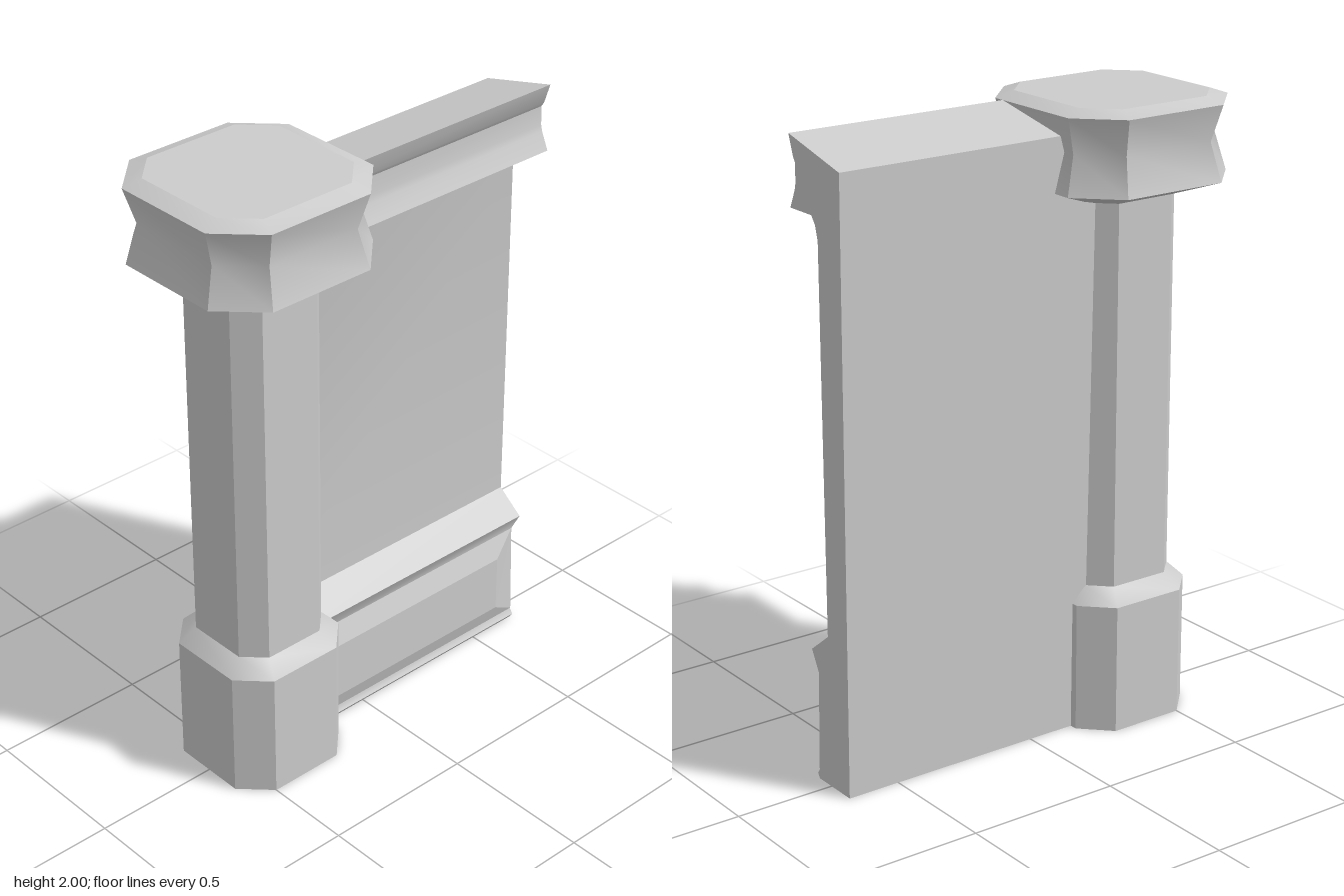
import * as THREE from 'three';
import { toCreasedNormals } from 'three/addons/utils/BufferGeometryUtils.js';

const material = new THREE.MeshStandardMaterial({ color: 0xcccccc, side: THREE.DoubleSide });

// Skin a list of equal-length sections with quads.
function loft(sections, closed) {
  const n = sections[0].length;
  const position = [];
  for (let i = 0; i < sections.length - 1; i++) {
    for (let j = 0; j < (closed ? n : n - 1); j++) {
      const k = (j + 1) % n;
      const a = sections[i][j], b = sections[i][k];
      const c = sections[i + 1][k], d = sections[i + 1][j];
      position.push(...a, ...d, ...c, ...a, ...c, ...b);
    }
  }
  const geometry = new THREE.BufferGeometry();
  geometry.setAttribute('position', new THREE.Float32BufferAttribute(position, 3));
  geometry.computeVertexNormals();
  return toCreasedNormals(geometry, 0.6);
}

// Square with cut corners, lying flat at height y.
function octagon(y, half, cut) {
  const s = half - cut;
  return [[half, -s], [half, s], [s, half], [-s, half], [-half, s], [-half, -s], [-s, -half], [s, -half]]
    .map(([x, z]) => [x, y, z]);
}

function addMesh(parent, name, geometry) {
  const mesh = new THREE.Mesh(geometry, material);
  mesh.name = name;
  parent.add(mesh);
  return mesh;
}

// Height, half width and corner cut of each ring
const PILLAR = {
  pillarBase: [[0, 0.215, 0.09], [0.42, 0.215, 0.09], [0.47, 0.166, 0.065]],
  pillarShaft: [[0.47, 0.166, 0.065], [1.7, 0.166, 0.065]],
  pillarCap: [[1.695, 0.166, 0.065], [1.745, 0.303, 0.125], [1.865, 0.27, 0.11], [1.98, 0.303, 0.125]],
  pillarTop: [[1.98, 0.303, 0.125], [2, 0.248, 0.09]],
};

// Wall outline as [z, y]: up the front mouldings, over the top, down the back
const WALL = [
  [0.065, 0], [0.075, 0.015], [0.065, 0.03], [0.055, 0.355], [0.09, 0.42], [0, 0.49],
  [0, 1.695], [0.012, 1.74], [0.03, 1.765], [0.14, 1.765], [0.115, 1.82], [0.11, 1.84],
  [0.108, 1.9], [0.118, 1.915], [0.14, 1.98], [-0.118, 1.915], [-0.1, 0],
];
const X0 = -0.3, X1 = 0.675;

export function createModel() {
  const model = new THREE.Group();
  model.name = 'wallSection';

  // Eight-sided pillar
  const pillar = new THREE.Group();
  pillar.name = 'pillar';
  pillar.position.x = -0.375;
  model.add(pillar);
  for (const [name, rings] of Object.entries(PILLAR)) {
    addMesh(pillar, name, loft(rings.map((r) => octagon(...r)), true));
  }
  const lid = new THREE.Shape(octagon(0, 0.248, 0.09).map(([x, , z]) => new THREE.Vector2(x, z)));
  addMesh(pillar, 'pillarLid', new THREE.ShapeGeometry(lid).rotateX(-Math.PI / 2)).position.y = 2;

  // Wall with moulded foot and cornice, open underneath
  const wall = new THREE.Group();
  wall.name = 'wall';
  model.add(wall);
  addMesh(wall, 'wallBody', loft([X0, X1].map((x) => WALL.map(([z, y]) => [x, y, z])), false));
  const end = new THREE.Shape(WALL.map(([z, y]) => new THREE.Vector2(-z, y)));
  addMesh(wall, 'wallEnd', new THREE.ShapeGeometry(end).rotateY(Math.PI / 2)).position.x = X1;

  // Raised bevelled panel on the foot of the wall
  const rim = [[X0, 0.035, 0.065], [X1, 0.035, 0.065], [X1, 0.355, 0.055], [X0, 0.355, 0.055]];
  const face = [[X0 + 0.09, 0.09, 0.082], [X1 - 0.09, 0.09, 0.082], [X1 - 0.09, 0.285, 0.082], [X0 + 0.09, 0.285, 0.082]];
  const bevel = loft([rim.reverse(), face.reverse()], true);
  bevel.computeVertexNormals();
  addMesh(wall, 'footPanelBevel', bevel);
  const plate = new THREE.PlaneGeometry(X1 - X0 - 0.18, 0.195);
  addMesh(wall, 'footPanelFace', plate).position.set((X0 + X1) / 2, 0.1875, 0.082);

  return model;
}
